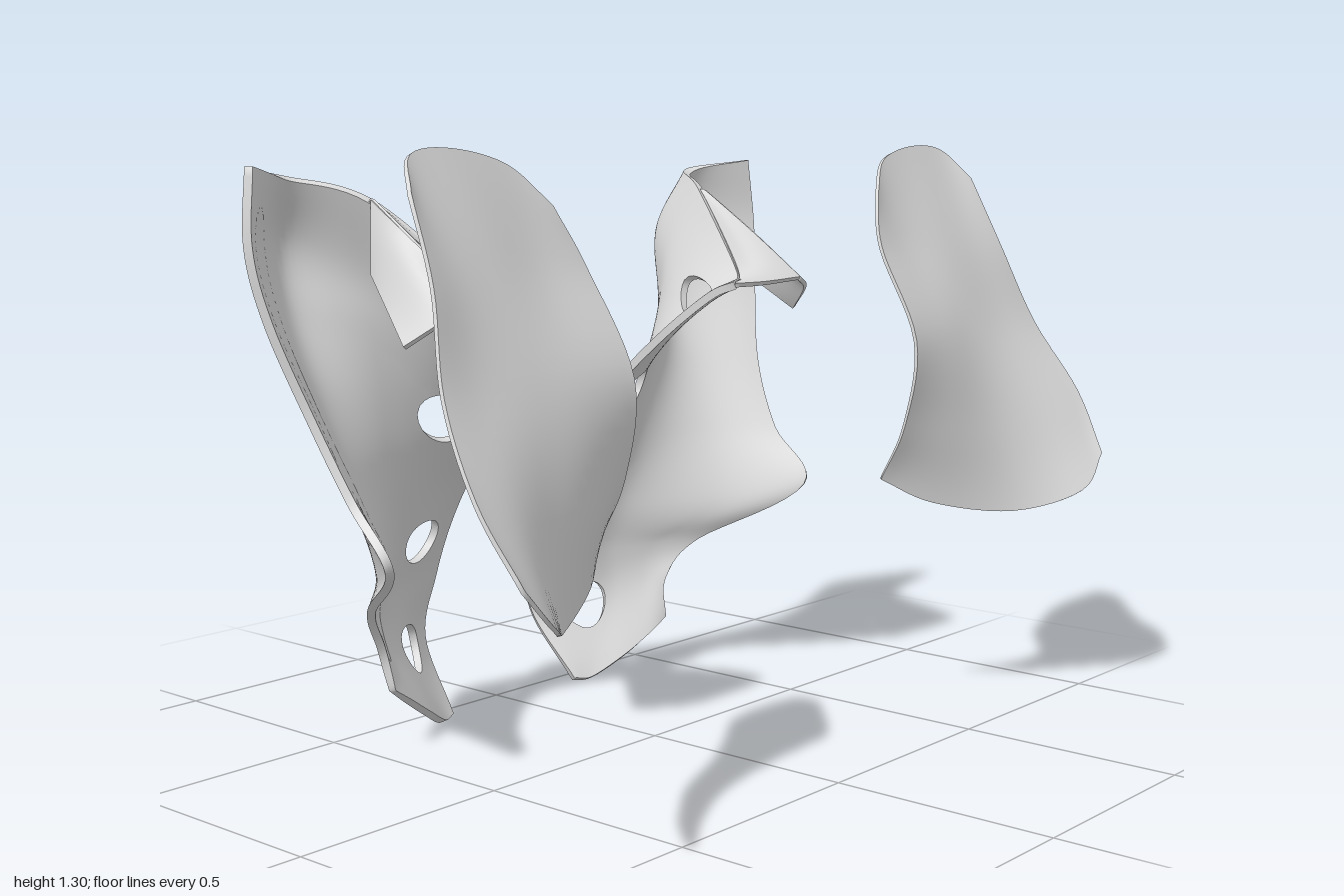
import * as THREE from 'three';
import { mergeGeometries } from 'three/addons/utils/BufferGeometryUtils.js';

const shell = new THREE.MeshStandardMaterial({ color: 0xdadada, side: THREE.DoubleSide });
shell.name = 'light grey shell';

// Closed thin shell lofted through rows of control points.
// holes: [column, row, half width, half height] in grid cells; side = -1 mirrors in x.
function loftShell(rows, nu, nv, thickness, side, holes = []) {
  const curve = pts => new THREE.CatmullRomCurve3(pts, false, 'catmullrom', 0.5);
  const rowCurves = rows.map(r => curve(r.map(p => new THREE.Vector3(p[0] * side, p[1], p[2]))));
  const pos = [], index = [];
  for (let j = 0; j <= nv; j++) for (let i = 0; i <= nu; i++) {
    let ci = i, cj = j;
    // bend the cells around each hole from a square into an ellipse
    for (const [hu, hv, a, b] of holes) {
      const x = (i - hu) / a, y = (j - hv) / b, c = Math.max(Math.abs(x), Math.abs(y));
      if (c < 1 || c >= 2) continue;
      const k = THREE.MathUtils.lerp(c / Math.hypot(x, y), 1, c - 1);
      ci = hu + x * k * a;
      cj = hv + y * k * b;
    }
    const p = curve(rowCurves.map(c => c.getPoint(ci / nu))).getPoint(cj / nv);
    pos.push(p.x, p.y, p.z);
  }
  for (let j = 0; j < nv; j++) for (let i = 0; i < nu; i++) {
    if (holes.some(([hu, hv, a, b]) =>
      Math.abs(i + 0.5 - hu) < a && Math.abs(j + 0.5 - hv) < b)) continue;
    const a = j * (nu + 1) + i, b = a + 1, c = b + nu + 1, d = c - 1;
    index.push(...(side > 0 ? [a, b, c, a, c, d] : [a, c, b, a, d, c]));
  }
  const make = (p, idx) => {
    const g = new THREE.BufferGeometry();
    g.setAttribute('position', new THREE.Float32BufferAttribute(p, 3));
    g.setIndex(idx);
    g.computeVertexNormals();
    return g;
  };
  const normals = make(pos, index).attributes.normal.array;
  const offset = h => pos.map((v, k) => v + normals[k] * h);
  const outer = offset(thickness / 2), inner = offset(-thickness / 2);
  // rim along every open edge, including the holes
  const edges = new Set();
  for (let k = 0; k < index.length; k += 3)
    for (let e = 0; e < 3; e++) edges.add(index[k + e] + '_' + index[k + (e + 1) % 3]);
  const rim = [], n = pos.length / 3;
  for (const key of edges) {
    const [a, b] = key.split('_').map(Number);
    if (!edges.has(b + '_' + a)) rim.push(a, a + n, b + n, a, b + n, b);
  }
  return mergeGeometries([
    make(outer, index), make(inner, index.slice().reverse()), make(outer.concat(inner), rim)]);
}

// Front plate, bottom to top, inner to outer edge
const plateRows = [
  [[.478, .55, .265], [.58, .49, .34], [.76, .458, .445], [.89, .5, .55], [.97, .58, .555]],
  [[.472, .68, .33], [.6, .66, .37], [.75, .65, .41], [.9, .67, .47], [.995, .72, .47]],
  [[.472, .87, .355], [.6, .87, .35], [.72, .87, .345], [.85, .87, .35], [.965, .88, .365]],
  [[.485, 1.07, .25], [.6, 1.08, .24], [.72, 1.09, .25], [.83, 1.08, .265], [.92, 1.06, .295]],
  [[.53, 1.19, .205], [.61, 1.265, .165], [.74, 1.295, .155], [.85, 1.285, .165], [.9, 1.22, .22]],
];

// Rear shell: perforated inner panel running into an outer strip and upper cup
const rearRows = [
  [[.205, .01, -.44], [.25, .01, -.42], [.33, .055, -.385], [.4, .1, -.365], [.45, .135, -.36]],
  [[.18, .17, -.56], [.3, .18, -.48], [.37, .2, -.445], [.43, .22, -.41], [.47, .23, -.37]],
  [[.155, .32, -.545], [.28, .31, -.49], [.37, .31, -.46], [.455, .32, -.4], [.54, .33, -.32]],
  [[.145, .45, -.5], [.27, .42, -.465], [.39, .42, -.43], [.55, .43, -.28], [.68, .47, -.1]],
  [[.145, .58, -.42], [.28, .57, -.41], [.42, .58, -.4], [.57, .6, -.33], [.69, .6, -.2]],
  [[.165, .74, -.28], [.29, .72, -.33], [.44, .75, -.39], [.59, .77, -.4], [.72, .76, -.28]],
  [[.205, .87, -.155], [.33, .86, -.245], [.47, .93, -.38], [.61, .95, -.475], [.775, .95, -.335]],
  [[.265, .96, -.065], [.37, .95, -.17], [.5, 1.06, -.38], [.62, 1.1, -.5], [.8, 1.1, -.36]],
  [[.3, .985, -.02], [.41, 1.01, -.1], [.53, 1.19, -.31], [.64, 1.235, -.44], [.785, 1.26, -.37]],
];
const rearHoles = [[10, 8, 5, 3], [10, 24, 5, 3], [10, 40, 5, 3], [10, 55, 4, 3]];

// Lip over the top of the panel, ending in a ridge
const ridge = [[.53, .99, -.01], [.53, 1.09, -.15], [.53, 1.19, -.3]];
const lipRows = [
  [[.3, .985, -.02], [.41, 1.01, -.1], [.53, 1.19, -.31]],
  [[.4, .985, -.012], [.47, 1.04, -.12], [.53, 1.19, -.305]],
  ridge,
];

// Short flap folding down on the outer side of the ridge
const flapRows = [
  ridge,
  [[.58, .965, -.03], [.565, 1.05, -.15], [.54, 1.12, -.29]],
  [[.63, .91, -.1], [.595, .97, -.18], [.55, 1.04, -.28]],
];

export function createModel() {
  const model = new THREE.Group();
  for (const [name, side] of [['left', 1], ['right', -1]]) {
    const half = new THREE.Group();
    half.name = name + 'Guard';
    const add = (part, geometry) => {
      const mesh = new THREE.Mesh(geometry, shell);
      mesh.name = name + part;
      half.add(mesh);
    };
    add('FrontPlate', loftShell(plateRows, 24, 28, 0.008, side));
    add('RearShell', loftShell(rearRows, 40, 64, 0.018, side, rearHoles));
    add('TopLip', loftShell(lipRows, 14, 8, 0.01, side));
    add('FoldedFlap', loftShell(flapRows, 14, 10, 0.01, side));
    model.add(half);
  }
  return model;
}
